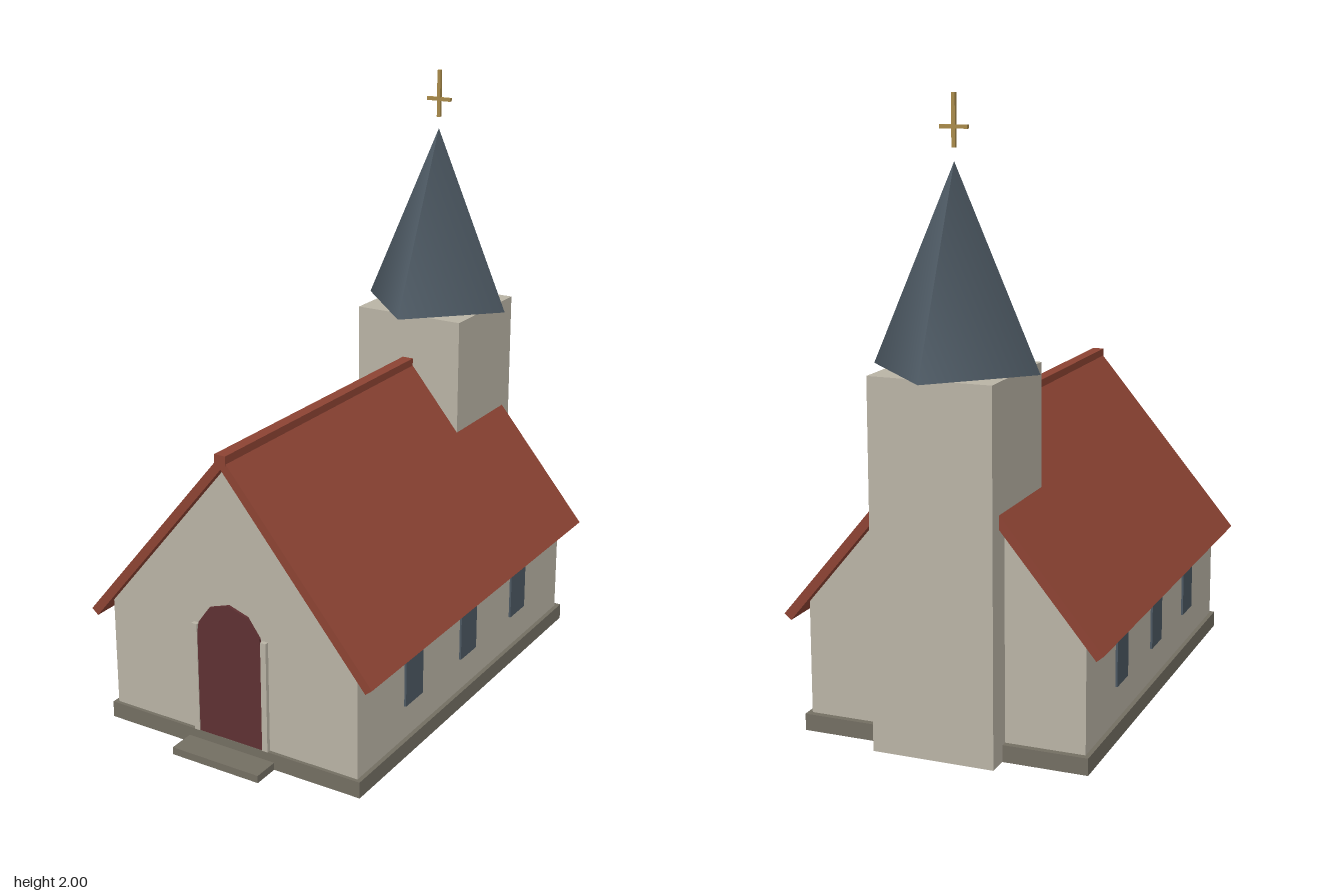
import * as THREE from 'three';

const mat = (name, color) => {
  const m = new THREE.MeshStandardMaterial({ color });
  m.name = name;
  return m;
};

export function createModel() {
  const church = new THREE.Group();
  church.name = 'church';

  const plaster = mat('plaster', 0xb9b3a5);
  const tile = mat('roof tile', 0x8c4333);
  const slate = mat('slate', 0x4c5862);
  const wood = mat('door wood', 0x5e3032);
  const stone = mat('stone', 0x736e62);
  const gold = mat('gold', 0xa88a4a);

  const add = (name, geometry, material) => {
    const mesh = new THREE.Mesh(geometry, material);
    mesh.name = name;
    church.add(mesh);
    return mesh;
  };
  // Box given by its lower and upper limits on each axis
  const box = (name, material, [x0, x1], [y0, y1], [z0, z1]) => {
    const mesh = add(name, new THREE.BoxGeometry(x1 - x0, y1 - y0, z1 - z0), material);
    mesh.position.set((x0 + x1) / 2, (y0 + y1) / 2, (z0 + z1) / 2);
    return mesh;
  };
  // Outline in x and y, extruded from z0 to z1
  const prism = (name, material, points, z0, z1) => {
    const shape = new THREE.Shape(points.map(([x, y]) => new THREE.Vector2(x, y)));
    const geometry = new THREE.ExtrudeGeometry(shape, { depth: z1 - z0, bevelEnabled: false });
    return add(name, geometry.translate(0, 0, z0), material);
  };

  // Plinth and entrance step
  box('plinth', stone, [-0.475, 0.475], [0, 0.055], [-0.687, 0.745]);
  box('entranceStep', stone, [-0.163, 0.163], [0, 0.025], [0.74, 0.835]);

  // Nave with its gables
  prism('nave', plaster,
    [[-0.46, 0.05], [0.46, 0.05], [0.46, 0.425], [0, 0.98], [-0.46, 0.425]], -0.667, 0.733);

  // Two roof slopes and the ridge cap
  for (const s of [1, -1]) {
    const slope = [[0, 0.977], [s * 0.505, 0.37], [s * 0.528, 0.389], [0, 1.022]];
    prism(s > 0 ? 'leftRoof' : 'rightRoof', tile, slope, -0.708, 0.763);
  }
  box('ridgeCap', tile, [-0.02, 0.02], [0.993, 1.024], [-0.70, 0.765]);

  // Three windows on each side
  for (const s of [1, -1]) {
    for (const z of [0.397, 0.031, -0.336]) {
      const pane = box('window', slate, [-0.0045, 0.0045], [0.17, 0.425], [z - 0.054, z + 0.054]);
      pane.position.x = s * 0.4625;
    }
  }

  // Door with a faceted arch, between two jambs
  const arch = [18, 54, 90, 126, 162].map((deg) => {
    const a = THREE.MathUtils.degToRad(deg);
    return [0.12 * Math.cos(a), 0.402 + 0.12 * Math.sin(a)];
  });
  prism('door', wood, [[-0.12, 0.055], [0.12, 0.055], [0.12, 0.402], ...arch, [-0.12, 0.402]], 0.735, 0.744);
  for (const s of [1, -1]) {
    const jamb = box('doorJamb', plaster, [-0.01, 0.01], [0.055, 0.43], [0.73, 0.747]);
    jamb.position.x = s * 0.13;
  }

  // Tower, four-sided spire and cross
  box('tower', plaster, [-0.2, 0.2], [0.002, 1.18], [-0.76, -0.36]);
  const spire = add('spire', new THREE.ConeGeometry(0.273, 0.62, 4), slate);
  spire.position.set(0, 1.49, -0.56);
  box('crossUpright', gold, [-0.006, 0.006], [1.84, 2], [-0.566, -0.554]);
  box('crossArm', gold, [-0.045, 0.045], [1.895, 1.907], [-0.566, -0.554]);

  return church;
}
